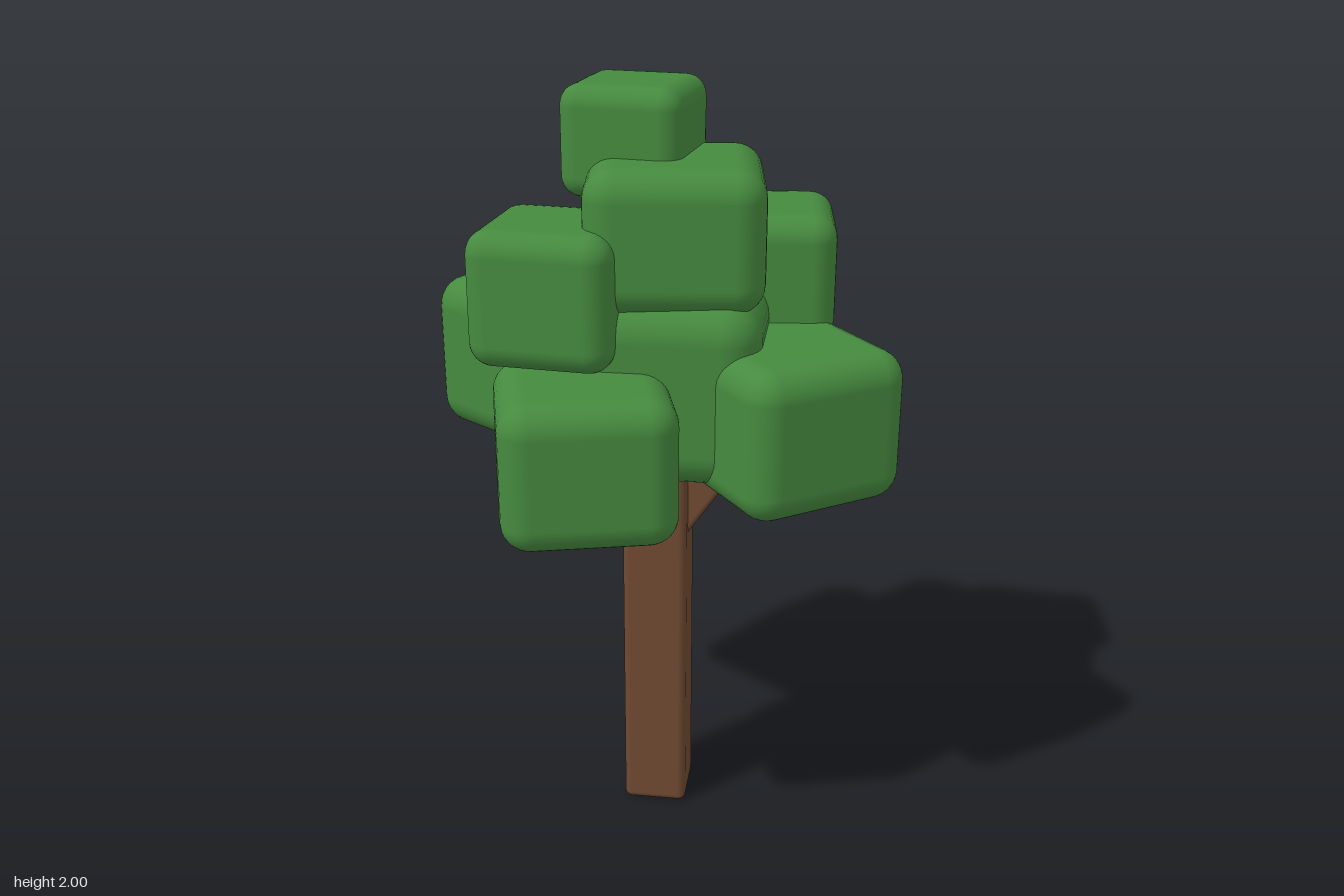
import * as THREE from 'three';
import { RoundedBoxGeometry } from 'three/addons/geometries/RoundedBoxGeometry.js';

export function createModel() {
  const leaf = new THREE.MeshStandardMaterial({ color: 0x468a3f });
  leaf.name = 'leafGreen';
  const bark = new THREE.MeshStandardMaterial({ color: 0x6f4a32 });
  bark.name = 'barkBrown';

  const tree = new THREE.Group();
  tree.name = 'tree';

  function block(name, material, [w, h, d], radius, [x, y, z], parent = tree) {
    const mesh = new THREE.Mesh(new RoundedBoxGeometry(w, h, d, 4, radius), material);
    mesh.name = name;
    mesh.position.set(x, y, z);
    parent.add(mesh);
    return mesh;
  }

  // Trunk and the slanted branch on its left side
  block('trunk', bark, [0.17, 1.25, 0.17], 0.02, [-0.008, 0.63, 0.018]);
  const branch = block('branch', bark, [0.09, 0.44, 0.09], 0.014, [0.145, 1.01, 0.02]);
  branch.rotation.z = -0.6;

  // Foliage blocks: name, width, bottom y, top y, x, z, turn about y
  const foliage = new THREE.Group();
  foliage.name = 'foliage';
  tree.add(foliage);
  const blocks = [
    ['coreFoliage', 0.555, 1.05, 1.52, -0.005, 0.017, 0],
    ['frontFoliage', 0.424, 0.987, 1.357, -0.141, 0.348, 0.262],
    ['leftFoliage', 0.44, 1.022, 1.407, 0.333, 0.145, 0.63],
    ['backFoliage', 0.425, 1.012, 1.378, 0.082, -0.341, -0.385],
    ['rightFoliage', 0.468, 1.056, 1.465, -0.313, -0.144, -0.61],
    ['upperRightFoliage', 0.36, 1.357, 1.695, -0.24, 0.17, -0.095],
    ['upperLeftFoliage', 0.367, 1.34, 1.672, 0.24, -0.172, 0.087],
    ['upperFoliage', 0.437, 1.483, 1.835, 0.04, 0.058, 0.12],
    ['topFoliage', 0.307, 1.727, 2.0, -0.073, -0.028, -0.14],
  ];
  for (const [name, size, bottom, top, x, z, turn] of blocks) {
    const mesh = block(name, leaf, [size, top - bottom, size], size * 0.17,
      [x, (bottom + top) / 2, z], foliage);
    mesh.rotation.y = turn;
  }
  return tree;
}
